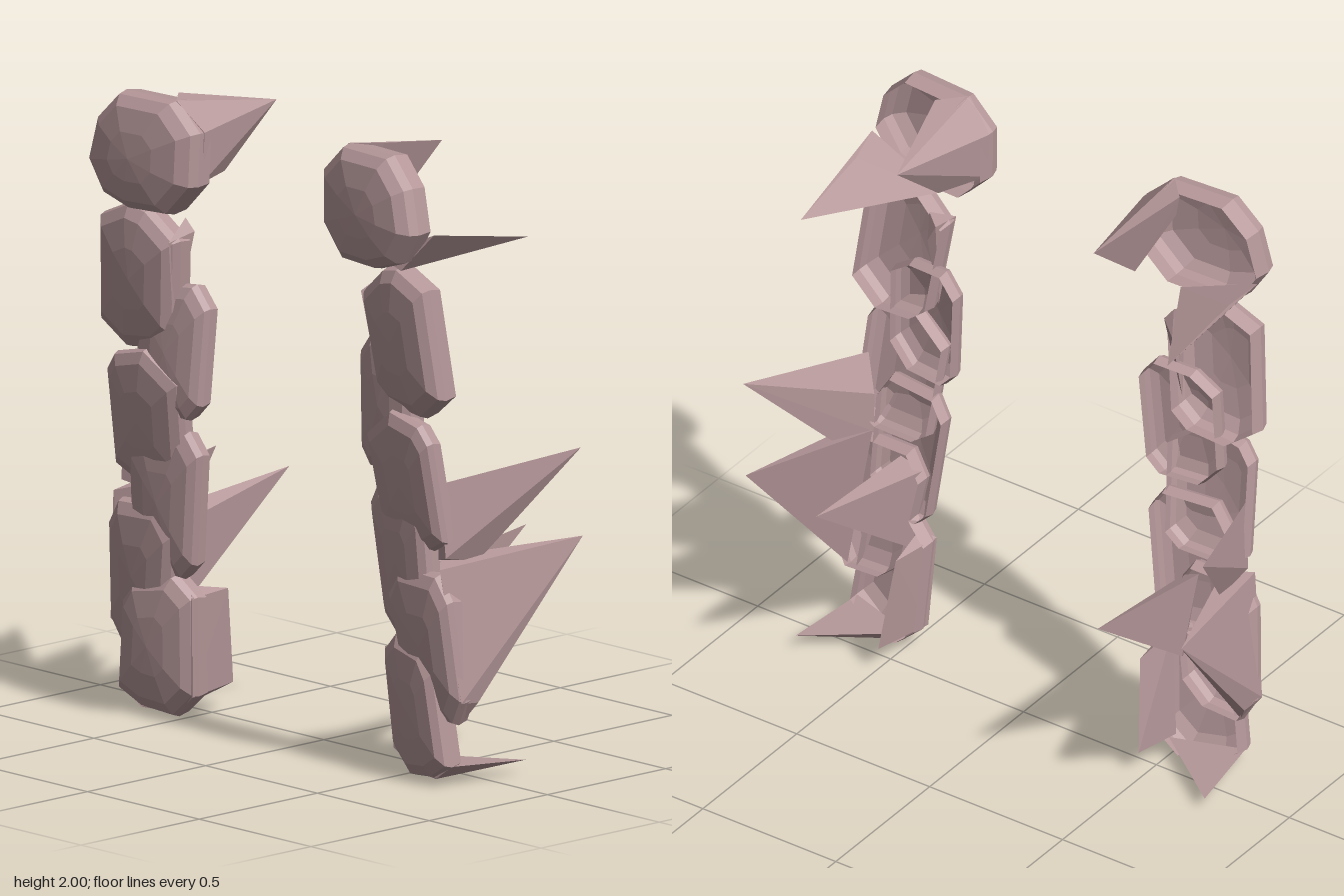
import * as THREE from 'three';
import { ConvexGeometry } from 'three/addons/geometries/ConvexGeometry.js';

const stone = new THREE.MeshStandardMaterial({ color: 0xb59799, flatShading: true, side: THREE.DoubleSide });
stone.name = 'dusty pink stone';

// Hollow domed plates: outline [x, y] counterclockwise, front z at top and bottom, depth, yaw as z per x
const plates = [
  { name: 'headPlate', top: 0.345, bottom: 0.355, depth: 0.14, yaw: 0.07,
    outline: [[0.29, 1.91], [0.295, 1.74], [0.39, 1.64], [0.55, 1.635], [0.66, 1.67], [0.725, 1.77], [0.69, 1.91], [0.6, 2], [0.385, 2]] },
  { name: 'upperPlate', top: 0.305, bottom: 0.25, depth: 0.12, yaw: 0.08,
    outline: [[0.42, 1.54], [0.46, 1.23], [0.52, 1.18], [0.66, 1.165], [0.76, 1.24], [0.725, 1.59], [0.6, 1.645], [0.53, 1.63]] },
  { name: 'upperInnerPlate', top: 0.22, bottom: 0.235, depth: 0.09, yaw: 0.12,
    outline: [[0.345, 1.33], [0.365, 1.02], [0.41, 0.97], [0.55, 0.97], [0.62, 1.05], [0.61, 1.33], [0.53, 1.39], [0.4, 1.4]] },
  { name: 'middlePlate', top: 0.28, bottom: 0.205, depth: 0.09, yaw: 0.06,
    outline: [[0.42, 1.09], [0.445, 0.78], [0.5, 0.74], [0.65, 0.735], [0.735, 0.78], [0.72, 1.1], [0.68, 1.155], [0.55, 1.185]] },
  { name: 'middleInnerPlate', top: 0.225, bottom: 0.19, depth: 0.09, yaw: 0.12,
    outline: [[0.385, 0.86], [0.43, 0.5], [0.48, 0.45], [0.6, 0.46], [0.67, 0.55], [0.66, 0.85], [0.61, 0.93], [0.43, 0.93]] },
  { name: 'lowerPlate', top: 0.235, bottom: 0.185, depth: 0.1, yaw: 0.04,
    outline: [[0.475, 0.6], [0.53, 0.28], [0.61, 0.21], [0.74, 0.2], [0.785, 0.28], [0.76, 0.6], [0.71, 0.68], [0.53, 0.685]] },
  { name: 'footPlate', top: 0.225, bottom: 0.185, depth: 0.11, yaw: 0.18,
    outline: [[0.43, 0.4], [0.45, 0.08], [0.53, 0.005], [0.65, 0.02], [0.735, 0.07], [0.695, 0.37], [0.65, 0.44], [0.5, 0.465]] },
];

// Pointed back spikes and inner side walls: corner points, hulled
const spikes = [
  { name: 'headInnerSpike', points: [[0.37, 1.94, -0.15], [0.29, 1.91, 0.23], [0.385, 2, 0.26], [0.46, 2, 0.18], [0.44, 1.92, 0.19], [0.3, 1.75, 0.23], [0.37, 1.75, 0.07]] },
  { name: 'headOuterSpike', points: [[0.69, 1.68, -0.21], [0.45, 1.65, 0.2], [0.63, 1.64, 0.27], [0.725, 1.76, 0.22], [0.7, 1.735, 0.1]] },
  { name: 'upperInnerWall', points: [[0.43, 1.54, 0.25], [0.46, 1.23, 0.2], [0.43, 1.56, 0.14], [0.46, 1.6, 0.15], [0.46, 1.5, 0.14]] },
  { name: 'middleSpike', points: [[0.865, 1.035, -0.27], [0.71, 0.965, 0.18], [0.725, 0.73, 0.17], [0.72, 0.7, 0.03], [0.66, 0.85, 0.14], [0.66, 0.71, 0.14]] },
  { name: 'lowerOuterSpike', points: [[0.82, 0.74, -0.32], [0.73, 0.7, 0.2], [0.785, 0.28, 0.16], [0.775, 0.27, 0.08], [0.66, 0.72, 0.13], [0.74, 0.21, 0.11]] },
  { name: 'lowerInnerSpike', points: [[0.53, 0.72, -0.355], [0.49, 0.62, 0.16], [0.56, 0.66, 0.14], [0.51, 0.34, 0.13], [0.54, 0.38, 0.08]] },
  { name: 'footSpike', points: [[0.77, 0.055, -0.125], [0.73, 0.07, 0.15], [0.54, 0.01, 0.1], [0.49, 0.06, 0.08], [0.66, 0.02, 0.15]] },
  { name: 'footInnerWall', points: [[0.432, 0.4, 0.15], [0.45, 0.08, 0.13], [0.46, 0.4, -0.03], [0.49, 0.09, -0.08], [0.475, 0.43, 0.12], [0.49, 0.05, 0.12]] },
];

function plateGeometry({ outline, top, bottom, depth, yaw }, side) {
  const n = outline.length;
  const cx = outline.reduce((s, p) => s + p[0], 0) / n;
  const cy = outline.reduce((s, p) => s + p[1], 0) / n;
  const ys = outline.map((p) => p[1]);
  const low = Math.min(...ys), high = Math.max(...ys);
  // [scale, fraction of depth] from the open back rim to the front crown
  const rings = [[0.96, 1], [1, 0.6], [0.96, 0.36], [0.8, 0.16], [0.42, 0.04], [0, 0]];
  const position = [], index = [];
  for (const [scale, back] of rings) {
    for (const [px, py] of outline) {
      const x = cx + (px - cx) * scale, y = cy + (py - cy) * scale;
      const z = bottom + (top - bottom) * (y - low) / (high - low) + (x - cx) * yaw - back * depth;
      position.push(side * x, y, z);
    }
  }
  for (let r = 0; r < rings.length - 1; r++) {
    for (let i = 0; i < n; i++) {
      const a = r * n + i, b = r * n + (i + 1) % n, c = a + n, d = b + n;
      const faces = [[a, b, c]];
      // The crown is a single point, so it takes one triangle per side
      if (r < rings.length - 2) faces.push([b, d, c]);
      for (const [p, q, s] of faces) index.push(...(side > 0 ? [p, q, s] : [p, s, q]));
    }
  }
  const geometry = new THREE.BufferGeometry();
  geometry.setAttribute('position', new THREE.Float32BufferAttribute(position, 3));
  geometry.setIndex(index);
  const flat = geometry.toNonIndexed();
  flat.computeVertexNormals();
  return flat;
}

function createColumn(side) {
  const column = new THREE.Group();
  column.name = side > 0 ? 'leftColumn' : 'rightColumn';
  const add = (name, geometry) => {
    const mesh = new THREE.Mesh(geometry, stone);
    mesh.name = name;
    column.add(mesh);
  };
  for (const plate of plates) add(plate.name, plateGeometry(plate, side));
  for (const { name, points } of spikes) {
    add(name, new ConvexGeometry(points.map(([x, y, z]) => new THREE.Vector3(side * x, y, z))));
  }
  return column;
}

export function createModel() {
  const model = new THREE.Group();
  model.name = 'spikedColumns';
  model.add(createColumn(1), createColumn(-1));
  return model;
}
